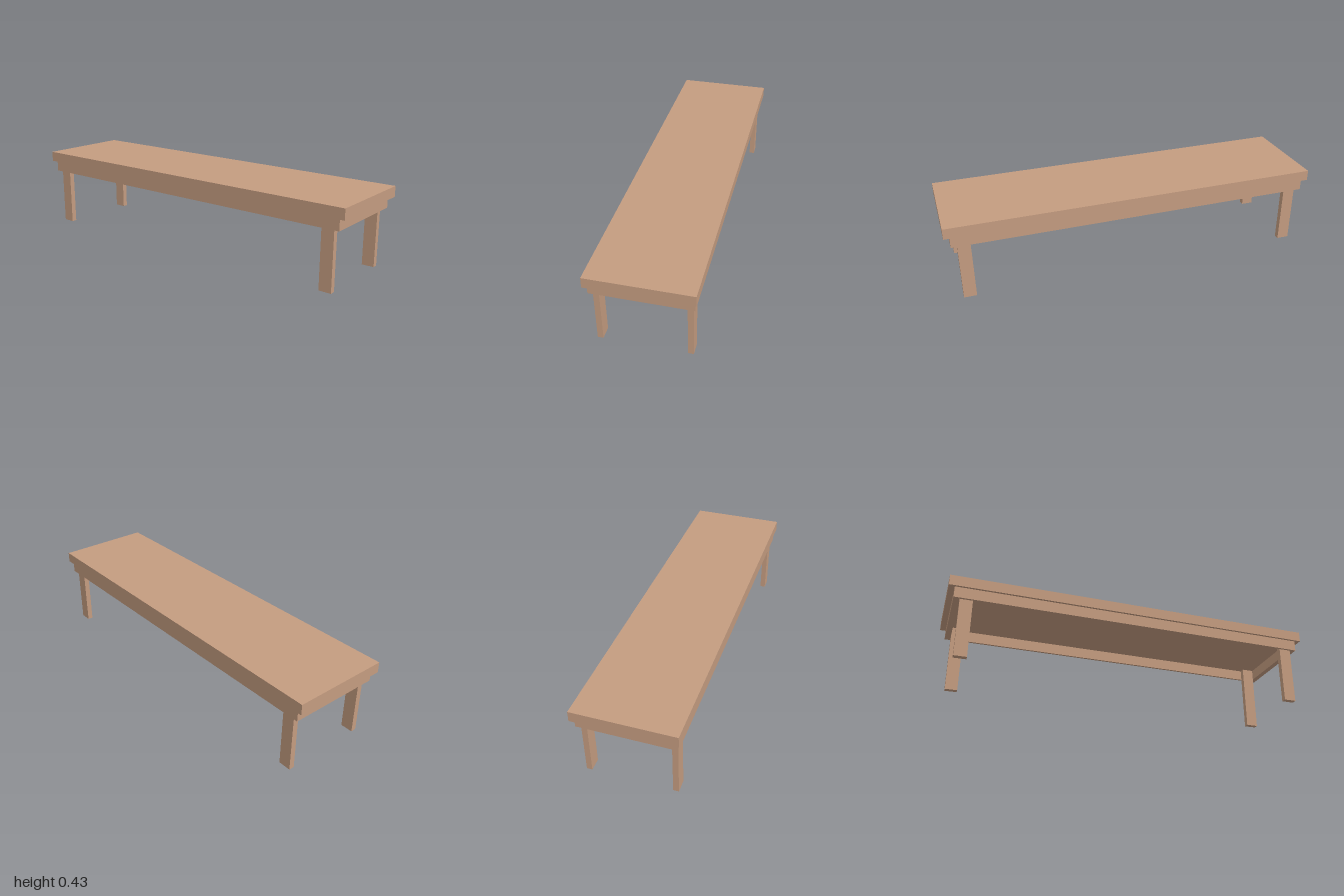
import * as THREE from 'three';

export function createModel() {
  const group = new THREE.Group();
  const wood = new THREE.MeshStandardMaterial({ color: 0xc49c80 });
  wood.name = 'wood';

  // Box given by its size, centre and bottom height
  const box = (name, w, h, d, x, y, z) => {
    const mesh = new THREE.Mesh(new THREE.BoxGeometry(w, h, d), wood);
    mesh.name = name;
    mesh.position.set(x, y + h / 2, z);
    group.add(mesh);
  };

  // Seat slab
  box('seat', 2, 0.056, 0.52, 0, 0.371, 0);

  // Apron frame, open underneath
  const railY = 0.312, railH = 0.059;
  for (const s of [1, -1]) {
    box(s > 0 ? 'frontRail' : 'backRail', 1.94, railH, 0.012, 0, railY, s * 0.242);
    box(s > 0 ? 'leftRail' : 'rightRail', 0.03, railH, 0.472, s * 0.955, railY, 0);
  }

  // Legs, set inside the frame and reaching up to the seat
  for (const x of [1, -1]) {
    for (const z of [1, -1]) {
      const name = (z > 0 ? 'front' : 'back') + (x > 0 ? 'Left' : 'Right') + 'Leg';
      box(name, 0.066, 0.371, 0.029, x * 0.906, 0, z * 0.2212);
    }
  }
  return group;
}
